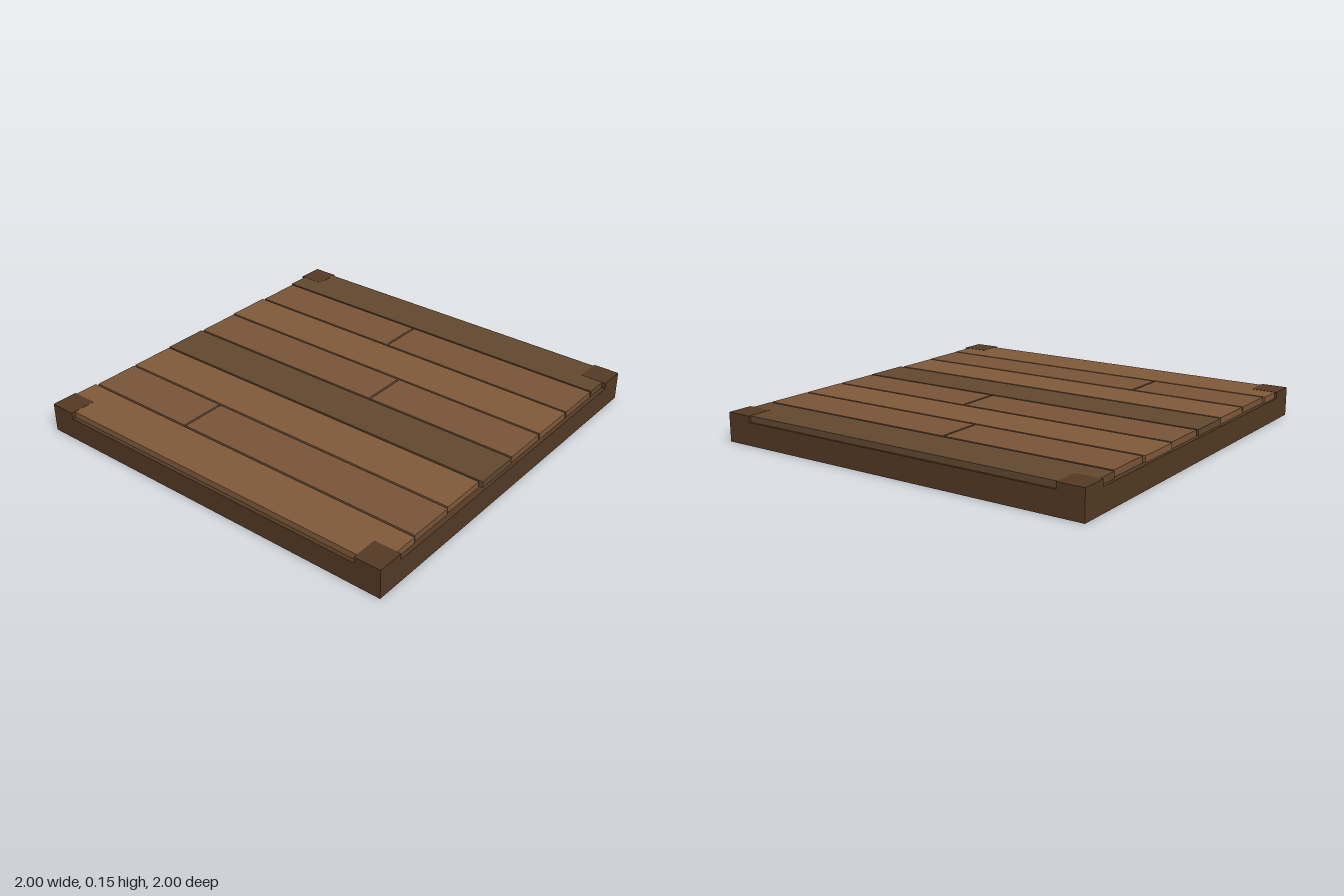
import * as THREE from 'three';

const TOP = 0.147, BEAM = 0.115;
const mat = (color) => new THREE.MeshStandardMaterial({ color, roughness: 0.9 });

// Box given by its lower and upper limits on each axis
function box(name, material, [x0, x1], [y0, y1], [z0, z1]) {
  const mesh = new THREE.Mesh(new THREE.BoxGeometry(x1 - x0, y1 - y0, z1 - z0), material);
  mesh.position.set((x0 + x1) / 2, (y0 + y1) / 2, (z0 + z1) / 2);
  mesh.name = name;
  return mesh;
}

export function createModel() {
  const model = new THREE.Group();
  model.name = 'woodenFloor';
  const frameWood = mat(0x533924), light = mat(0x7f5a3a), medium = mat(0x785437), dark = mat(0x62482f);

  // Frame: four corner posts joined by four lower beams
  const frame = new THREE.Group();
  frame.name = 'frame';
  const post = 0.135, beam = 0.09, reach = 1 - post;
  const side = (s, w) => (s > 0 ? [1 - w, 1] : [-1, w - 1]);
  for (const s of [-1, 1]) {
    frame.add(box('crossBeam', frameWood, [-reach, reach], [0, BEAM], side(s, beam)));
    frame.add(box('sideBeam', frameWood, side(s, beam), [0, BEAM], [-reach, reach]));
    for (const t of [-1, 1]) {
      frame.add(box('cornerPost', frameWood, side(s, post), [0, TOP], side(t, post)));
    }
  }
  model.add(frame);

  // Plank rows, back to front: wood, left end, right end, optional joint
  const rows = [
    [dark, -0.985, 0.98],
    [medium, -0.975, 0.98, -0.1],
    [light, -0.985, 0.98],
    [medium, -0.98, 0.98, 0.165],
    [dark, -0.985, 0.985],
    [light, -0.98, 0.97],
    [medium, -0.98, 0.975, -0.365],
    [light, -0.99, 0.98],
  ];
  const planks = new THREE.Group();
  planks.name = 'planks';
  const pitch = 0.2475, gap = 0.01, start = -0.994;
  rows.forEach(([wood, x0, x1, joint], i) => {
    const z = [start + i * pitch + gap / 2, start + (i + 1) * pitch - gap / 2];
    const spans = joint === undefined ? [[x0, x1]] : [[x0, joint - gap / 2], [joint + gap / 2, x1]];
    for (const x of spans) planks.add(box('plank', wood, x, [BEAM, TOP - 0.001], z));
  });
  model.add(planks);
  return model;
}
